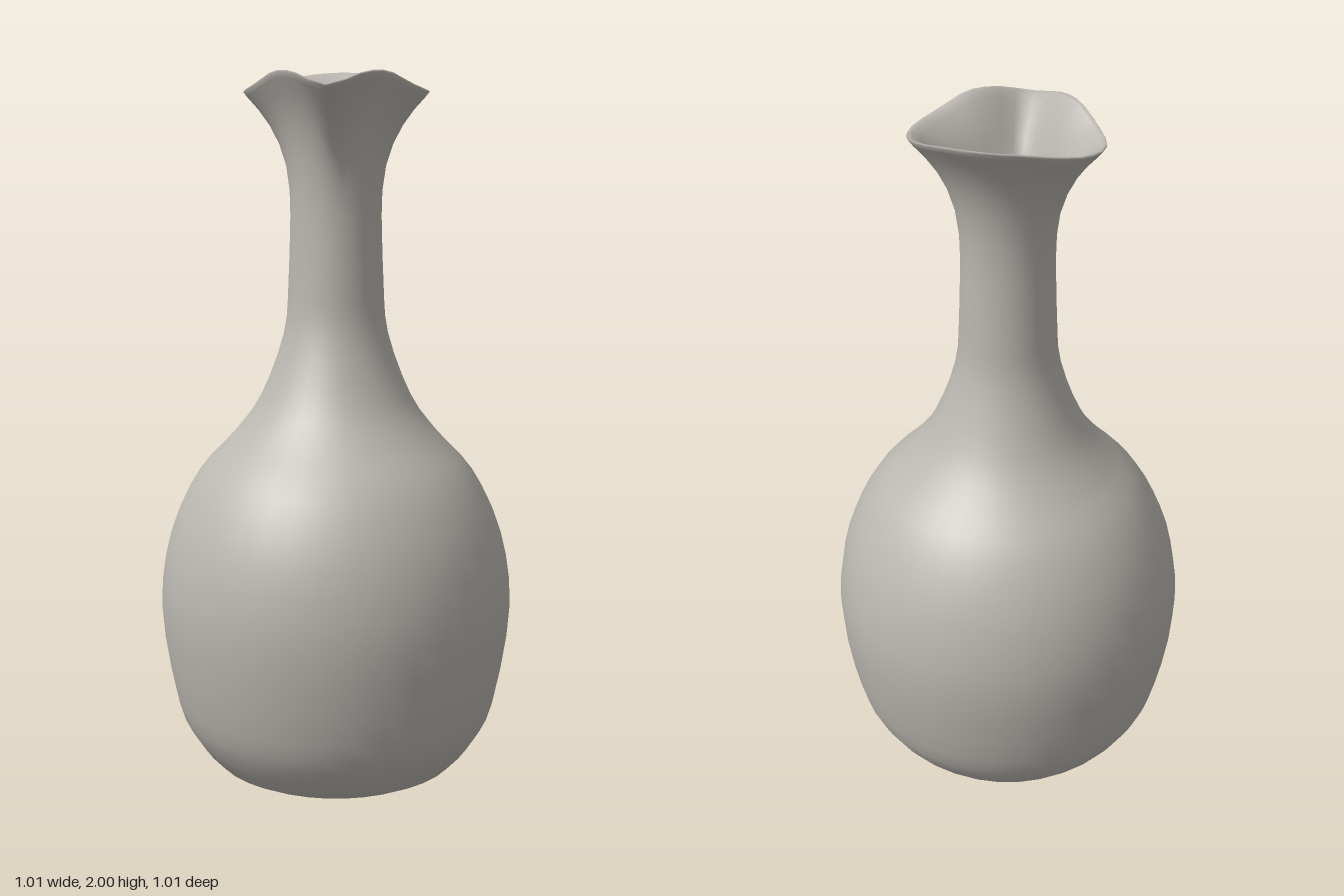
import * as THREE from 'three';
import { mergeVertices } from 'three/addons/utils/BufferGeometryUtils.js';

const SEGMENTS = 36;
const FLARE_START = 1.6, FLARE_END = 2, NECK_RADIUS = 0.128;

const v2 = ([x, y]) => new THREE.Vector2(x, y);
const smooth = (points, n) => new THREE.SplineCurve(points.map(v2)).getPoints(n);

// Rim radius and height, from the spout at the front round to the back
const rim = new THREE.SplineCurve([
  [0.318, 1.95], [0.25, 1.985], [0.227, 1.99], [0.24, 1.96], [0.266, 1.942],
  [0.266, 1.95], [0.266, 1.972], [0.268, 1.992], [0.276, 2.0],
].map(v2));

// Flares the straight neck out to the pinched, wavy rim
function flareNeck(geometry) {
  const p = geometry.attributes.position;
  for (let i = 0; i < p.count; i++) {
    const x = p.getX(i), y = p.getY(i), z = p.getZ(i);
    if (y <= FLARE_START) continue;
    const edge = rim.getPoint(Math.abs(Math.atan2(x, z)) / Math.PI);
    const t = (y - FLARE_START) / (FLARE_END - FLARE_START);
    const r = Math.hypot(x, z);
    const scale = (r + (edge.x - NECK_RADIUS) * t ** 2.7) / r;
    p.setXYZ(i, x * scale, FLARE_START + t * (edge.y - FLARE_START), z * scale);
  }
}

export function createModel() {
  const group = new THREE.Group();
  group.name = 'vase';
  const clay = new THREE.MeshStandardMaterial({ color: 0xbab6b0 });
  clay.name = 'warm grey clay';

  // Shallow hollow underneath, then the foot
  const base = [[0, 0.015], [0.2, 0.013], [0.28, 0.004], [0.31, 0]].map(v2);
  // Outer wall from the foot up to the neck
  const outer = smooth([
    [0.35, 0.02], [0.41, 0.09], [0.465, 0.21], [0.505, 0.48], [0.475, 0.7],
    [0.395, 0.87], [0.295, 0.98], [0.215, 1.09], [0.148, 1.27], [0.134, 1.42], [0.128, 1.6],
  ], 30);
  // Neck wall, over the rounded lip and back down
  const neck = [
    [0.128, 1.68], [0.128, 1.76], [0.128, 1.83], [0.128, 1.89], [0.128, 1.94],
    [0.128, 1.98], [0.125, 1.995], [0.118, 2], [0.11, 1.996], [0.104, 1.98],
    [0.102, 1.94], [0.102, 1.89], [0.102, 1.83], [0.102, 1.76], [0.102, 1.68],
  ].map(v2);
  // Inner wall down to the floor
  const inner = smooth([
    [0.104, 1.6], [0.11, 1.42], [0.124, 1.27], [0.19, 1.09], [0.27, 0.97],
    [0.37, 0.85], [0.45, 0.69], [0.48, 0.48], [0.44, 0.22], [0.38, 0.1], [0.32, 0.05],
  ], 24);
  const floor = [[0.25, 0.04], [0, 0.04]].map(v2);

  let geometry = new THREE.LatheGeometry([...base, ...outer, ...neck, ...inner, ...floor], SEGMENTS);
  flareNeck(geometry);
  // Weld the seam so the shading runs smoothly round
  geometry.deleteAttribute('uv');
  geometry.deleteAttribute('normal');
  geometry = mergeVertices(geometry, 1e-5);
  geometry.computeVertexNormals();

  const body = new THREE.Mesh(geometry, clay);
  body.name = 'vaseBody';
  group.add(body);
  return group;
}
